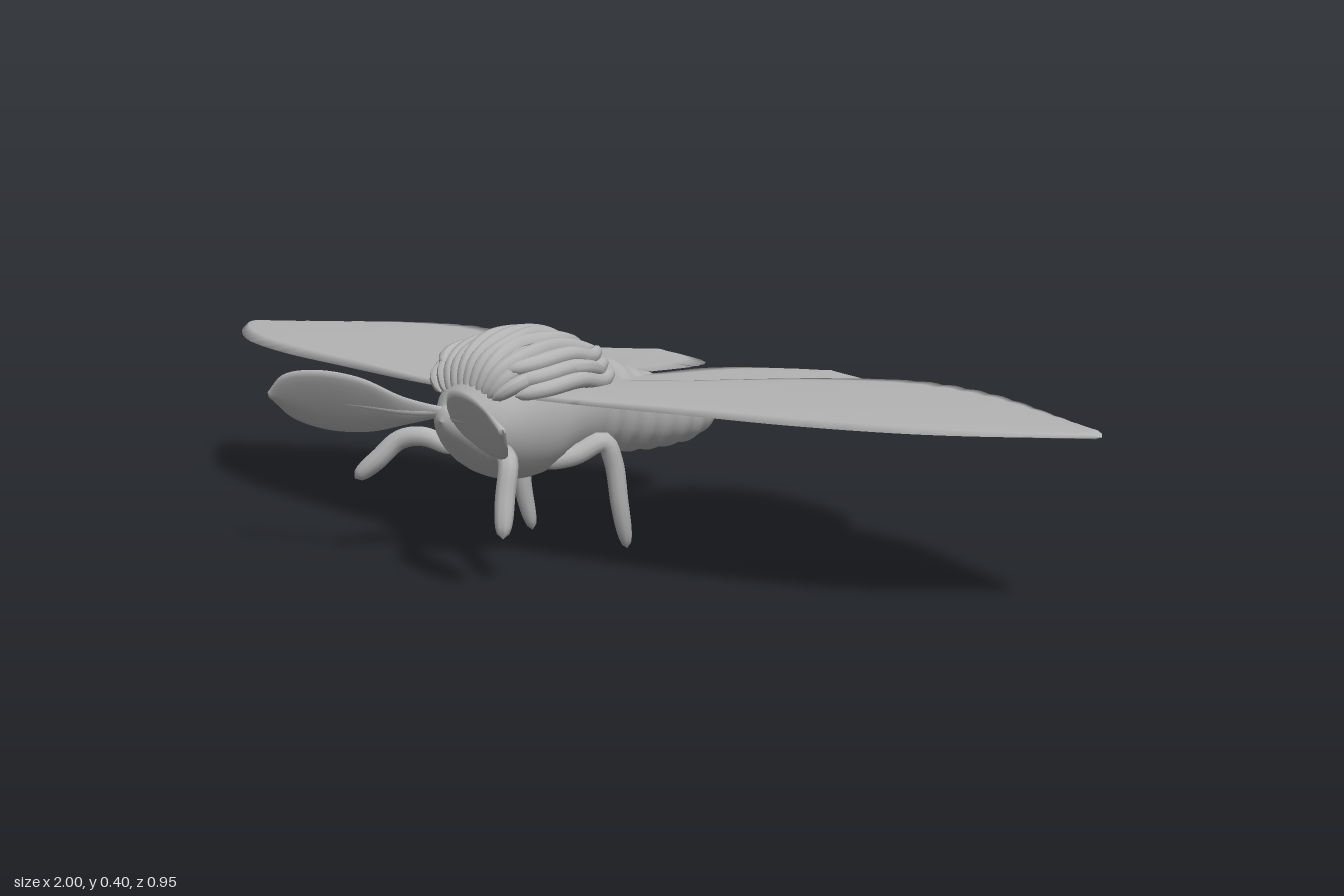
import * as THREE from 'three';

const grey = new THREE.MeshStandardMaterial({ color: 0xb3b3b3, side: THREE.DoubleSide });
grey.name = 'pale grey';

const V = (x, y, z) => new THREE.Vector3(x, y, z);
const curve = pts => new THREE.CatmullRomCurve3(pts.map(p => V(...p)));
const lerp = THREE.MathUtils.lerp;

function part(name, geometry, mirrored = false) {
  const mesh = new THREE.Mesh(geometry, grey);
  mesh.name = name;
  if (mirrored) mesh.scale.x = -1;
  return mesh;
}

// Smooth skin over a row of closed rings with equal point counts
function loft(rings) {
  const n = rings[0].length, index = [];
  for (let i = 0; i < rings.length - 1; i++) {
    for (let j = 0; j < n; j++) {
      const k = (j + 1) % n;
      const a = i * n + j, b = a + n, c = i * n + k, d = c + n;
      index.push(a, b, c, b, d, c);
    }
  }
  const g = new THREE.BufferGeometry().setFromPoints(rings.flat());
  g.setIndex(index);
  g.computeVertexNormals();
  return g;
}

// Thin lens-shaped plate between two edge curves, with a scalloped second edge
function blade(leadPts, trailPts, half, normal, scallop = 0, waves = 0) {
  const lead = curve(leadPts), trail = curve(trailPts), rings = [];
  const steps = 72, across = 10;
  for (let i = 0; i <= steps; i++) {
    const t = i / steps, a = lead.getPoint(t), b = trail.getPoint(t);
    const out = b.clone().sub(a).normalize();
    const fade = THREE.MathUtils.smoothstep(t, 0.4, 0.6) * (1 - t) * 2;
    b.addScaledVector(out, scallop * fade * (Math.abs(Math.sin(t * Math.PI * waves)) - 0.5));
    const ring = [];
    for (let j = 0; j < across * 2; j++) {
      const top = j <= across, u = top ? j / across : 2 - j / across;
      const h = half * Math.sqrt(Math.sin(Math.PI * u) + 1e-6) * (top ? 1 : -1);
      ring.push(a.clone().lerp(b, u).addScaledVector(normal, h * (i === steps ? 0.2 : 1)));
    }
    rings.push(ring);
  }
  return loft(rings);
}

// Round limb whose radius follows a rule along its length
function limb(pts, radius, rule, seg = 24, sides = 10) {
  const path = curve(pts), g = new THREE.TubeGeometry(path, seg, radius, sides);
  const pos = g.attributes.position, v = V(0, 0, 0);
  for (let i = 0; i < pos.count; i++) {
    const t = Math.floor(i / (sides + 1)) / seg, p = path.getPointAt(t);
    v.fromBufferAttribute(pos, i).sub(p).multiplyScalar(rule(t)).add(p);
    pos.setXYZ(i, v.x, v.y, v.z);
  }
  g.computeVertexNormals();
  return g;
}
const rounded = t => Math.pow(Math.max(0, 1 - Math.pow(Math.abs(2 * t - 1), 6)), 0.5);

function makeBody() {
  // z, top, bottom, half width
  const stations = [
    [0.325, 0.265, 0.264, 0.001], [0.315, 0.285, 0.24, 0.025], [0.29, 0.295, 0.21, 0.05],
    [0.25, 0.34, 0.175, 0.085], [0.2, 0.365, 0.152, 0.1], [0.13, 0.36, 0.145, 0.1],
    [0.05, 0.35, 0.165, 0.09], [-0.05, 0.34, 0.163, 0.075], [-0.15, 0.305, 0.153, 0.07],
    [-0.25, 0.275, 0.15, 0.063], [-0.31, 0.255, 0.155, 0.053], [-0.36, 0.23, 0.175, 0.033],
    [-0.388, 0.202, 0.2, 0.001]];
  const box = curve(stations.map(s => [s[1], s[2], s[0]]));
  const width = curve(stations.map(s => [s[3], 0, s[0]]));
  const rings = [];
  for (let i = 0; i <= 90; i++) {
    const p = box.getPoint(i / 90), w = Math.max(0.001, width.getPoint(i / 90).x);
    // Soft abdominal segments
    const ripple = p.z < 0 ? 1 + 0.03 * Math.sin(p.z * 125) : 1;
    const ring = [];
    for (let j = 0; j < 28; j++) {
      const a = j / 28 * Math.PI * 2;
      ring.push(V(w * ripple * Math.cos(a),
        (p.x + p.y) / 2 + (p.x - p.y) / 2 * ripple * Math.sin(a), p.z));
    }
    rings.push(ring);
  }
  return part('body', loft(rings));
}

// Swept-back hair locks over the thorax
function makeRuff() {
  const ruff = new THREE.Group();
  ruff.name = 'ruff';
  const dome = new THREE.SphereGeometry(1, 32, 20);
  dome.scale(0.115, 0.062, 0.115).translate(0, 0.328, 0.145);
  ruff.add(part('ruffBase', dome));
  for (let i = -5; i <= 5; i++) {
    const x = i * 0.022, top = 0.39 - 0.05 * (i / 5) ** 2;
    const wob = 0.008 * Math.sin(i * 2.3), end = 0.02 + 0.016 * Math.sin(i * 1.7);
    ruff.add(part('hairLock', limb([
      [x * 0.55, 0.3, 0.265], [x * 0.85, lerp(0.3, top, 0.65), 0.24],
      [x + wob, top, 0.18], [x * 1.05 - wob, top + 0.004, 0.1],
      [x + wob, top - 0.018, end]], 0.014, rounded)));
  }
  for (const s of [-1, 1]) {
    for (let k = 0; k < 3; k++) {
      const y = 0.318 + k * 0.02, x = s * (0.125 - k * 0.012);
      ruff.add(part('sideLock', limb([
        [x * 0.75, y - 0.01, 0.245], [x, y, 0.2], [x * 1.04, y + 0.008, 0.12],
        [x * 0.98, y - 0.002, 0.06], [x * 0.85, y + 0.01, 0.015 + k * 0.006]], 0.014, rounded)));
    }
  }
  return ruff;
}

export function createModel() {
  const model = new THREE.Group();
  model.name = 'moth';
  model.add(makeBody(), makeRuff());

  const up = V(0, 1, 0);
  const foreWing = blade(
    [[0.05, 0.303, 0.235], [0.2, 0.303, 0.218], [0.4, 0.304, 0.185], [0.6, 0.304, 0.145],
      [0.78, 0.304, 0.08], [0.91, 0.303, -0.01], [1.0, 0.302, -0.1]],
    [[0.02, 0.305, 0.05], [0.17, 0.307, -0.07], [0.37, 0.312, -0.245], [0.52, 0.316, -0.302],
      [0.68, 0.314, -0.282], [0.86, 0.308, -0.195], [0.985, 0.303, -0.125]],
    0.006, up, 0.013, 18);
  const hindWing = blade(
    [[0.08, 0.298, 0.12], [0.22, 0.29, -0.02], [0.38, 0.28, -0.18], [0.5, 0.272, -0.295],
      [0.468, 0.272, -0.37], [0.36, 0.275, -0.44], [0.21, 0.279, -0.477]],
    [[0.0, 0.3, 0.1], [0.006, 0.296, -0.06], [0.01, 0.288, -0.22], [0.014, 0.283, -0.35],
      [0.045, 0.28, -0.42], [0.11, 0.279, -0.462], [0.2, 0.279, -0.48]],
    0.006, up, 0.006, 14);

  // Leaf-shaped feathered antennae
  const axis = [[0.01, 0.277, 0.3], [0.06, 0.28, 0.35], [0.12, 0.287, 0.385],
    [0.19, 0.292, 0.42], [0.245, 0.296, 0.447], [0.278, 0.298, 0.462]];
  const spread = [0.008, 0.03, 0.058, 0.064, 0.046, 0.004];
  const edge = s => axis.map(([x, y, z], i) =>
    [x - 0.25 * s * spread[i], y + 0.87 * s * spread[i], z + 0.4 * s * spread[i]]);
  const antenna = blade(edge(1), edge(-1), 0.006, V(0.45, 0.565, -0.7).normalize());
  const rib = limb(axis, 0.009, t => rounded(t) * (1 - 0.6 * t));

  // Hind legs
  const hindLeg = limb([[0.04, 0.17, 0.13], [0.08, 0.185, 0.08], [0.105, 0.205, 0.035],
    [0.112, 0.17, 0.018], [0.116, 0.09, 0.005], [0.114, 0.01, -0.017]],
  0.019, t => rounded(t) * (1 - 0.2 * t), 32);

  for (const [side, mirrored] of [['left', false], ['right', true]]) {
    const group = new THREE.Group();
    group.name = side + 'Side';
    group.add(part('foreWing', foreWing, mirrored), part('hindWing', hindWing, mirrored),
      part('antenna', antenna, mirrored), part('antennaRib', rib, mirrored),
      part('hindLeg', hindLeg, mirrored));
    model.add(group);
  }

  // Front legs, caught mid-step
  model.add(part('leftFrontLeg', limb([[0.04, 0.2, 0.25], [0.09, 0.215, 0.27],
    [0.122, 0.205, 0.29], [0.132, 0.15, 0.308], [0.143, 0.085, 0.325]], 0.017, rounded)));
  model.add(part('rightFrontLeg', limb([[-0.04, 0.2, 0.25], [-0.09, 0.222, 0.275],
    [-0.13, 0.215, 0.295], [-0.16, 0.18, 0.32], [-0.195, 0.145, 0.342]], 0.017, rounded)));

  return model;
}
